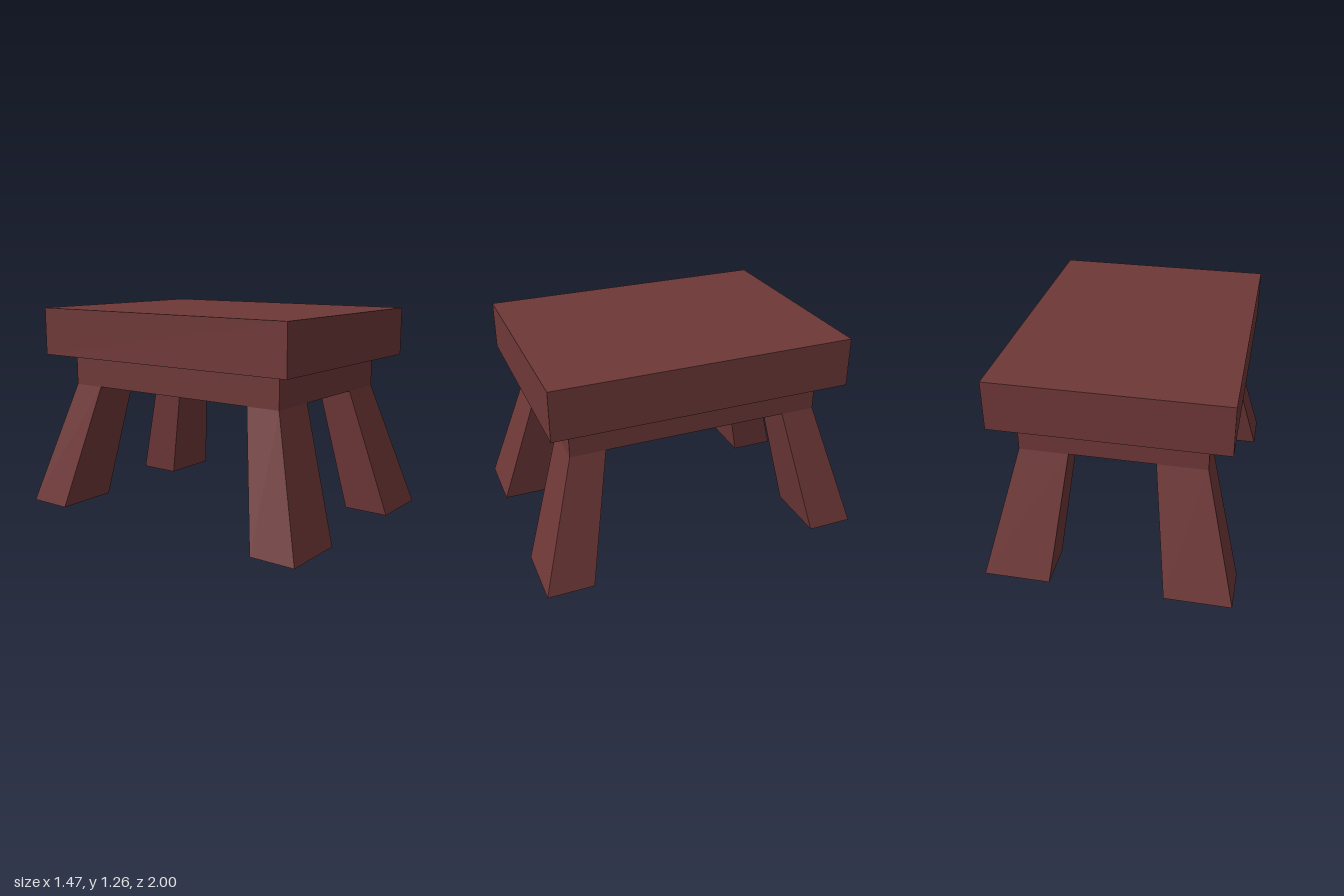
import * as THREE from 'three';

// Tapered, splayed leg: a unit box whose ends are fitted to two rectangles
function legGeometry(sx, sz) {
  const top = { y: 0.77, x: [0.25, 0.54], z: [0.56, 0.77] };
  const foot = { y: 0, x: [0.34, 0.735], z: [0.72, 1.0] };
  const geometry = new THREE.BoxGeometry(1, 1, 1);
  const p = geometry.attributes.position;
  const place = (t, [a, b], s) => s * (a + b) / 2 + t * (b - a);
  for (let i = 0; i < p.count; i++) {
    const end = p.getY(i) > 0 ? top : foot;
    p.setXYZ(i, place(p.getX(i), end.x, sx), end.y, place(p.getZ(i), end.z, sz));
  }
  geometry.computeVertexNormals();
  return geometry;
}

export function createModel() {
  const model = new THREE.Group();
  model.name = 'stool';
  const wood = new THREE.MeshStandardMaterial({ color: 0x6f3838 });
  wood.name = 'reddish brown wood';

  const add = (name, geometry, y = 0) => {
    const mesh = new THREE.Mesh(geometry, wood);
    mesh.name = name;
    mesh.position.y = y;
    model.add(mesh);
  };

  // Thick top slab and the smaller solid block beneath it
  add('seat', new THREE.BoxGeometry(1.35, 0.295, 1.8), 1.1125);
  add('apron', new THREE.BoxGeometry(1.08, 0.195, 1.54), 0.8675);

  // Four legs, splayed outward at the corners
  for (const [side, sx] of [['Left', 1], ['Right', -1]]) {
    for (const [end, sz] of [['front', 1], ['back', -1]]) {
      add(`${end}${side}Leg`, legGeometry(sx, sz));
    }
  }
  return model;
}
